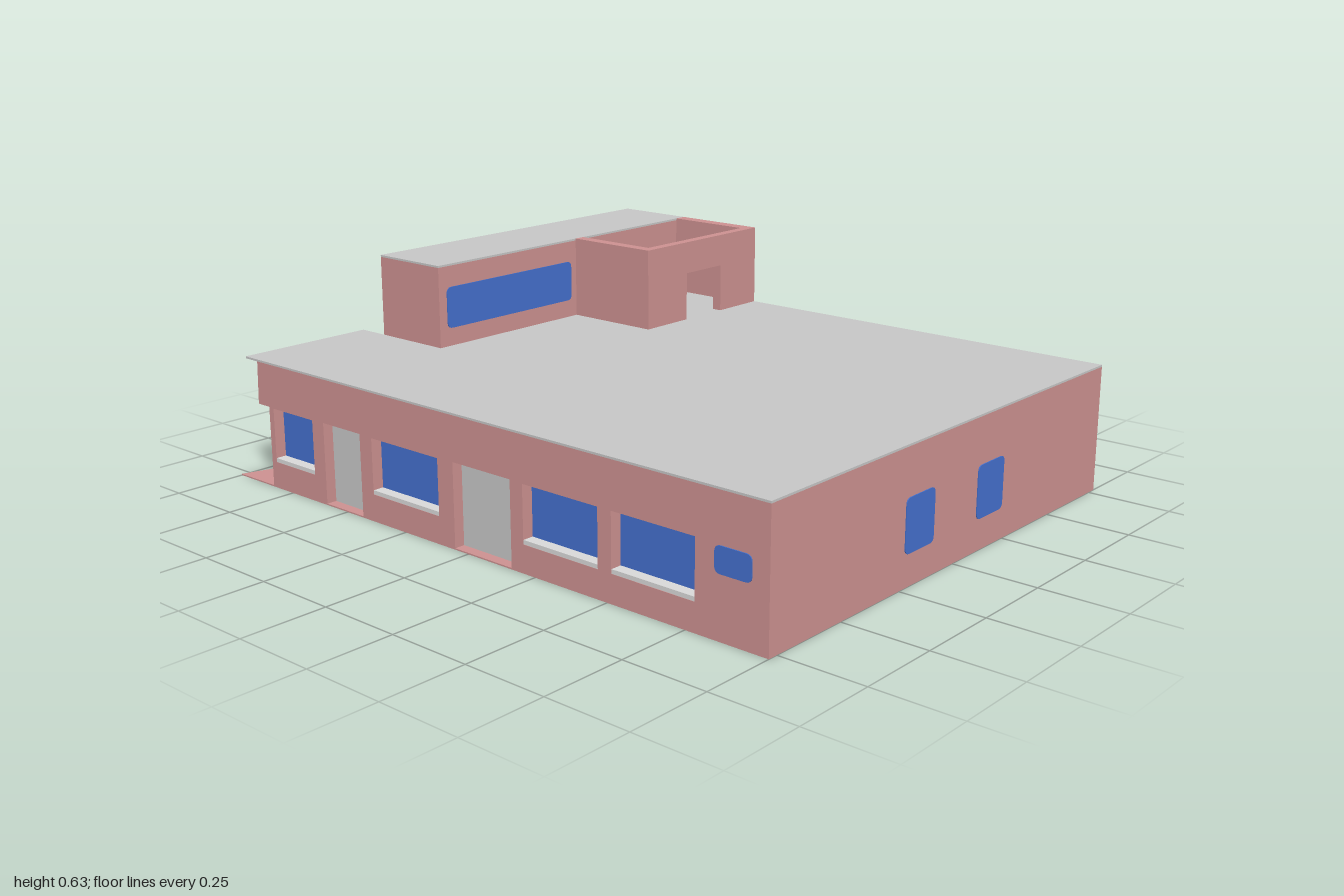
import * as THREE from 'three';

export function createModel() {
  const model = new THREE.Group();
  const mat = (name, color) => new THREE.MeshStandardMaterial({ name, color });
  const pink = mat('pink plaster', 0xcc9190);
  const gray = mat('gray roof', 0xc6c6c6);
  const blue = mat('blue glass', 0x446fcc);
  const pale = mat('pale sill', 0xd8d8d8);

  const add = (name, geo, material) => {
    const mesh = new THREE.Mesh(geo, material);
    mesh.name = name;
    model.add(mesh);
    return mesh;
  };
  const shapeOf = (pts) => new THREE.Shape(pts.map(([x, y]) => new THREE.Vector2(x, y)));
  const rect = (x0, x1, y0, y1) => [[x0, y0], [x1, y0], [x1, y1], [x0, y1]];
  const extrude = (shape, depth) =>
    new THREE.ExtrudeGeometry(shape, { depth, bevelEnabled: false, curveSegments: 4 });
  const box = (name, x0, x1, y0, y1, z0, z1, material) => add(name,
    new THREE.BoxGeometry(x1 - x0, y1 - y0, z1 - z0)
      .translate((x0 + x1) / 2, (y0 + y1) / 2, (z0 + z1) / 2), material);
  // horizontal slab from (x, z) points, reaching down from its top
  const slab = (name, pts, top, thick, material) =>
    add(name, extrude(shapeOf(pts), thick).rotateX(Math.PI / 2).translate(0, top, 0), material);
  // wall in the xy plane with window holes
  const wall = (name, pts, holes, z0, depth) => {
    const s = shapeOf(pts);
    holes.forEach((h) => s.holes.push(new THREE.Path(
      rect(...h).map(([x, y]) => new THREE.Vector2(x, y)))));
    add(name, extrude(s, depth).translate(0, 0, z0), pink);
  };
  // thin pane with rounded corners
  const pane = (a0, a1, b0, b1, r = 0.018) => {
    const s = new THREE.Shape();
    s.moveTo(a0 + r, b0).lineTo(a1 - r, b0).quadraticCurveTo(a1, b0, a1, b0 + r)
      .lineTo(a1, b1 - r).quadraticCurveTo(a1, b1, a1 - r, b1)
      .lineTo(a0 + r, b1).quadraticCurveTo(a0, b1, a0, b1 - r)
      .lineTo(a0, b0 + r).quadraticCurveTo(a0, b0, a0 + r, b0);
    return extrude(s, 0.004);
  };
  const sidePane = (name, z0, z1, y0, y1, x) =>
    add(name, pane(z0, z1, y0, y1).rotateY(-Math.PI / 2).translate(x + 0.003, 0, 0), blue);

  const T = 0.04, Z = 0.78, ROOF = 0.38, HIGH = 0.63, under = ROOF - 0.006;

  // floor with the flared terrace at the open side
  slab('floor', [[1, -Z], [1, Z], [-1, Z], [-0.955, 0.64], [-0.94, 0.475],
    [-0.84, 0.34], [-0.84, -Z]], 0.004, 0.004, pink);

  // front wall with two doorways and the overhanging band
  const frontWindows = [[-0.82, -0.64], [-0.38, -0.11], [0.21, 0.47], [0.515, 0.78]];
  const doors = [[-0.59, -0.43], [-0.05, 0.165]];
  const frontOutline = [[-0.84, 0]];
  doors.forEach(([a, b]) => frontOutline.push([a, 0], [a, 0.245], [b, 0.245], [b, 0]));
  frontOutline.push([1, 0], [1, under], [-0.885, under], [-0.89, 0.245], [-0.84, 0.245]);
  wall('frontWall', frontOutline, frontWindows.map(([a, b]) => [a, b, 0.08, 0.243]), Z - T, T);
  frontWindows.forEach(([a, b]) => {
    box('frontWindow', a, b, 0.08, 0.243, Z - T, Z - T + 0.006, blue);
    box('frontSill', a, b, 0.08, 0.092, Z - T + 0.006, Z - 0.001, pale);
  });
  doors.forEach(([a, b]) => box('frontDoor', a, b, 0.004, 0.245, Z - T, Z - T + 0.008, gray));
  add('smallFrontWindow', pane(0.84, 0.95, 0.17, 0.24).translate(0, 0, Z - 0.001), blue);

  // back wall, stepping up behind the stair tower
  const backWindows = [0.95, 0.635, 0.32, 0, -0.315].map((x) => [x - 0.275, x]);
  wall('backWall', [[-0.84, 0], [-0.69, 0], [-0.69, 0.235], [-0.635, 0.235], [-0.635, 0],
    [1, 0], [1, under], [-0.27, under], [-0.27, HIGH], [-0.58, HIGH], [-0.58, HIGH - 0.006],
    [-0.84, HIGH - 0.006]], backWindows.map(([a, b]) => [a, b, 0.07, 0.21]), -Z, T);
  backWindows.forEach(([a, b]) => {
    box('backWindow', a, b, 0.07, 0.21, -Z + T - 0.006, -Z + T, blue);
    box('backSill', a, b, 0.07, 0.08, -Z + 0.001, -Z + T - 0.006, pale);
  });
  box('backPanel', -0.84, -0.635, 0.24, 0.52, -Z - 0.003, -Z + 0.002, gray);

  // side wall with two windows
  box('sideWall', 0.96, 1, 0, under, -Z + T, Z - T, pink);
  sidePane('sideWindow', 0.10, 0.23, 0.09, 0.24, 1);
  sidePane('sideWindow', -0.24, -0.11, 0.09, 0.24, 1);

  // inner wall of the open hall, turning diagonally to the front
  slab('hallWall', [[-0.27, -Z + T], [-0.25, -Z + T], [-0.25, 0.33], [-0.57, Z - T],
    [-0.6, Z - T], [-0.27, 0.32]], under, under, pink);

  // main roof
  slab('mainRoof', [[-0.58, -Z], [1, -Z], [1, Z], [-0.94, Z], [-0.94, 0.34], [-0.58, 0.34]],
    ROOF, 0.006, gray);

  // raised strip with a long window, open to the outer side
  slab('raisedRoof', rect(-0.84, -0.58, -Z, 0.34), HIGH, 0.006, gray);
  box('raisedSideWall', -0.588, -0.58, under, HIGH - 0.006, -Z + T, 0.34, pink);
  box('raisedFrontWall', -0.84, -0.588, under, HIGH - 0.006, 0.332, 0.34, pink);
  sidePane('longWindow', -0.22, 0.31, 0.435, 0.56, -0.58);

  // roofless stair tower with a doorway onto the roof
  box('towerFrontWall', -0.58, -0.30, ROOF, HIGH, -0.28, -0.245, pink);
  add('towerSideWall', extrude(shapeOf([[-Z + T, ROOF], [-0.60, ROOF], [-0.60, 0.53],
    [-0.43, 0.53], [-0.43, ROOF], [-0.245, ROOF], [-0.245, HIGH], [-Z + T, HIGH]]), 0.03)
    .rotateY(-Math.PI / 2).translate(-0.27, 0, 0), pink);

  return model;
}
